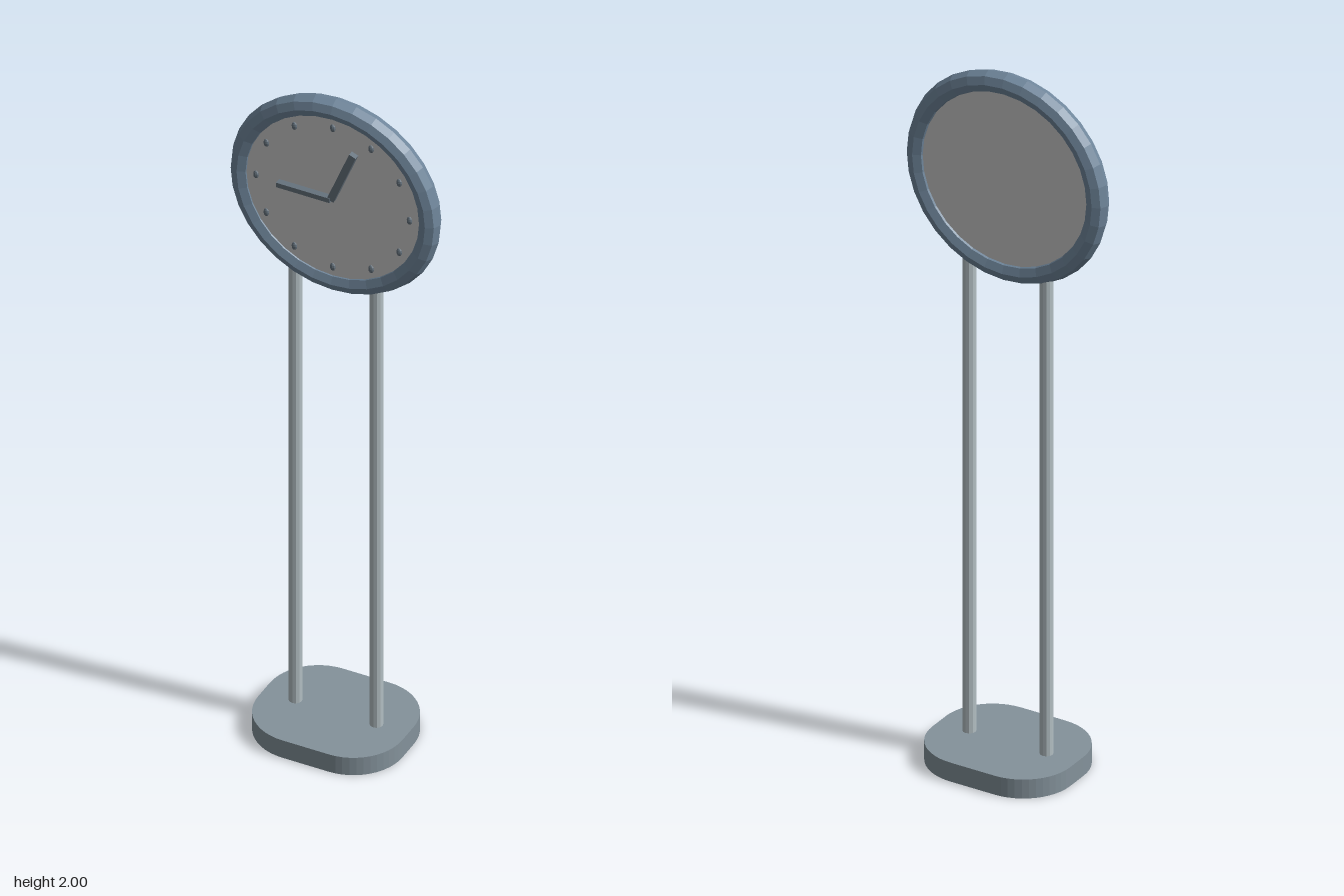
import * as THREE from 'three';

const mat = (color) => new THREE.MeshStandardMaterial({ color, flatShading: true });

function add(parent, name, geometry, material, x = 0, y = 0, z = 0) {
  const mesh = new THREE.Mesh(geometry, material);
  mesh.name = name;
  mesh.position.set(x, y, z);
  parent.add(mesh);
  return mesh;
}

// Rounded slab outline, half sizes w and d with corner radius r
function roundedOutline(w, d, r) {
  const s = new THREE.Shape();
  [[1, 1], [-1, 1], [-1, -1], [1, -1]].forEach(([sx, sy], i) => {
    const start = i * Math.PI / 2;
    s.absarc(sx * (w - r), sy * (d - r), r, start, start + Math.PI / 2, false);
  });
  s.closePath();
  return s;
}

export function createModel() {
  const group = new THREE.Group();
  group.name = 'standingClock';
  const steel = mat(0x70879c);
  const slab = mat(0x84929b);
  const poleMat = mat(0xb4c0c4);
  const grey = mat(0xcccccc);
  const dark = mat(0x66737e);

  // Base
  const baseGeo = new THREE.ExtrudeGeometry(roundedOutline(0.207, 0.173, 0.14),
    { depth: 0.055, bevelEnabled: false, curveSegments: 6 });
  baseGeo.rotateX(-Math.PI / 2);
  add(group, 'base', baseGeo, slab);

  // Twin poles, running up into the clock head
  for (const side of [-1, 1]) {
    const pole = new THREE.CylinderGeometry(0.018, 0.018, 1.43, 12);
    add(group, side > 0 ? 'leftPole' : 'rightPole', pole, poleMat, side * 0.116, 0.765, 0);
  }

  // Clock head
  const head = new THREE.Group();
  head.name = 'clockHead';
  head.position.y = 1.7;
  group.add(head);
  add(head, 'rim', new THREE.TorusGeometry(0.27, 0.03, 8, 32), steel);
  const disc = new THREE.CylinderGeometry(0.255, 0.255, 0.034, 32);
  disc.rotateX(Math.PI / 2);
  add(head, 'dial', disc, grey, 0, 0, 0.001);

  // Hour markers
  for (let i = 0; i < 12; i++) {
    const a = i * Math.PI / 6;
    const marker = add(head, 'hourMarker', new THREE.SphereGeometry(1, 8, 6), dark,
      0.22 * Math.sin(a), 0.22 * Math.cos(a), 0.018);
    marker.scale.set(0.008, 0.012, 0.006);
  }

  // Hands, each pivoting at the dial centre
  const addHand = (name, length, width, front, angle) => {
    const geo = new THREE.BoxGeometry(width, length, front - 0.016);
    geo.translate(0, length / 2, (front + 0.016) / 2);
    add(head, name, geo, dark).rotation.z = angle;
  };
  addHand('hourHand', 0.173, 0.02, 0.034, -0.38);
  addHand('minuteHand', 0.154, 0.014, 0.036, Math.PI / 2);

  return group;
}
